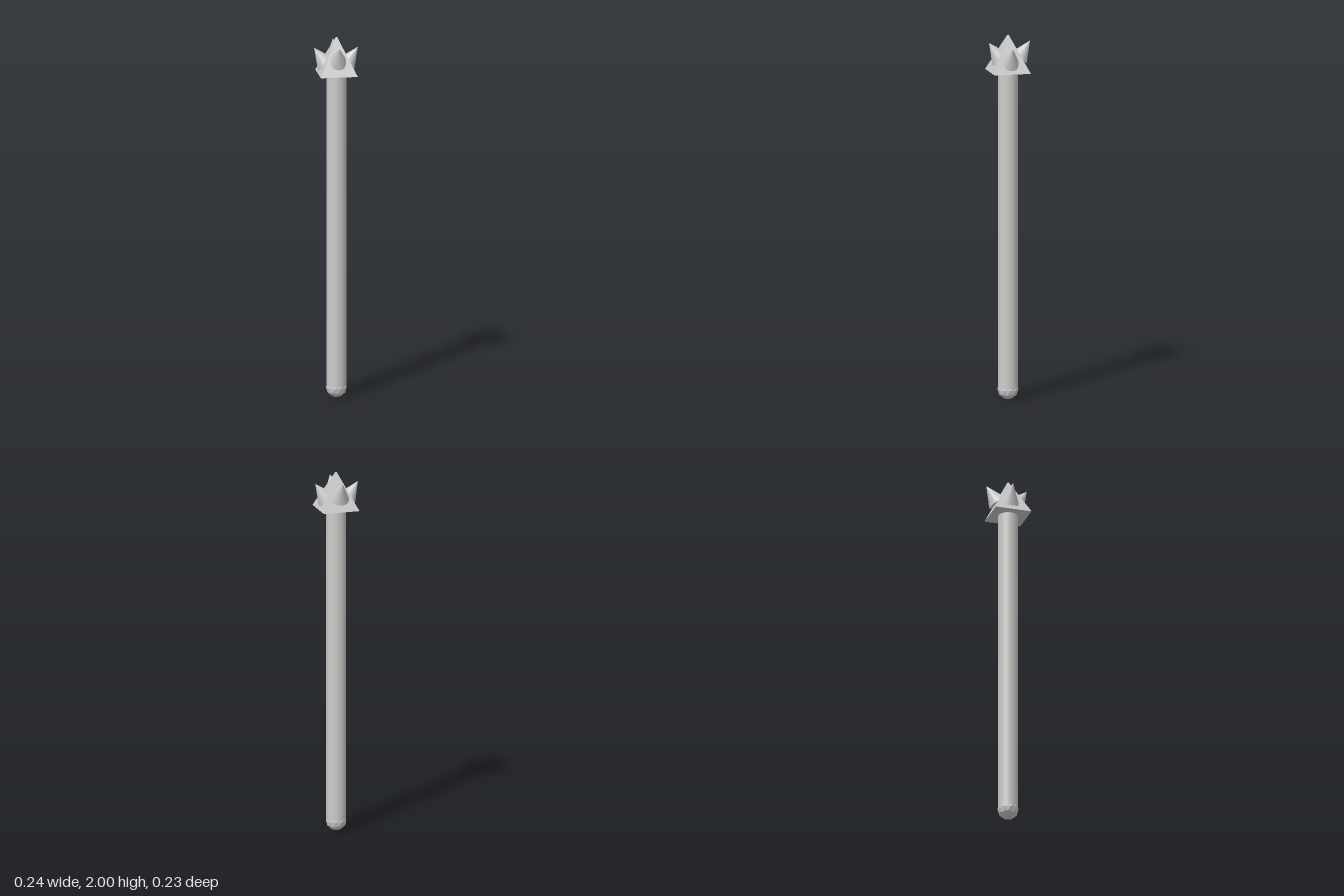
import * as THREE from 'three';

const Z = 0.007; // shaft axis sits slightly forward of the centre
const material = new THREE.MeshStandardMaterial({ color: 0xcccccc });
const flatMaterial = new THREE.MeshStandardMaterial({ color: 0xcccccc, flatShading: true });

function addPart(group, name, geometry, mat, x, y, z) {
  const mesh = new THREE.Mesh(geometry, mat);
  mesh.name = name;
  mesh.position.set(x, y, z);
  group.add(mesh);
  return mesh;
}

export function createModel() {
  const group = new THREE.Group();
  group.name = 'spikedMace';

  // Long round handle
  addPart(group, 'shaft', new THREE.CylinderGeometry(0.054, 0.054, 1.75, 32), material, 0, 0.93, Z);

  // Faceted ball closing the lower end, one vertex pointing down
  const ball = new THREE.IcosahedronGeometry(0.057, 1);
  ball.rotateX(-Math.atan((1 + Math.sqrt(5)) / 2));
  addPart(group, 'pommel', ball, flatMaterial, 0, 0.057, Z);

  // Four-sided pyramid head with a tiny blunt tip
  const pyramid = new THREE.CylinderGeometry(0.005, 0.101 * Math.SQRT2, 0.2, 4);
  pyramid.rotateY(Math.PI / 4);
  addPart(group, 'head', pyramid, flatMaterial, 0.001, 1.9, Z);

  // One cone spike per pyramid face: tip position and outward direction
  const height = 0.113;
  const cone = new THREE.ConeGeometry(0.054, height, 32);
  cone.translate(0, -height / 2, 0); // tip at the origin
  const tilt = 0.61;
  const up = new THREE.Vector3(0, 1, 0);
  const spikes = [
    ['leftSpike', [0.117, 1.943, 0.01], [1, 0]],
    ['rightSpike', [-0.12, 1.943, -0.003], [-1, 0]],
    ['frontSpike', [0.001, 1.961, 0.113], [0, 1]],
    ['backSpike', [0.001, 1.963, -0.116], [0, -1]],
  ];
  for (const [name, tip, [dx, dz]] of spikes) {
    const axis = new THREE.Vector3(dx * Math.sin(tilt), Math.cos(tilt), dz * Math.sin(tilt));
    addPart(group, name, cone, material, ...tip).quaternion.setFromUnitVectors(up, axis);
  }

  return group;
}
